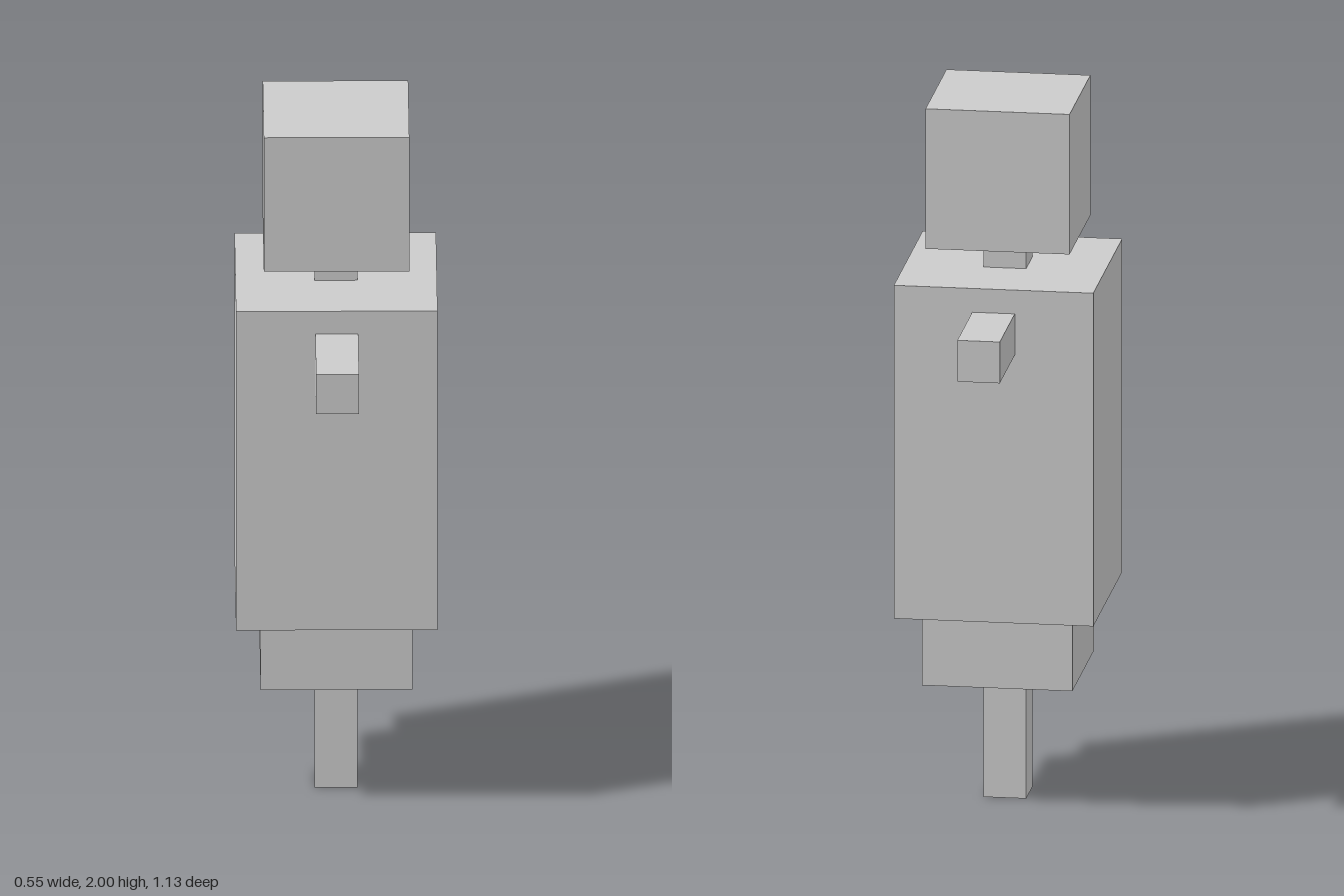
import * as THREE from 'three';

export function createModel() {
  const model = new THREE.Group();
  const material = new THREE.MeshStandardMaterial({ color: 0xcccccc, flatShading: true });

  // Box of the given width, depth and height range, centred on x = 0
  function block(name, width, depth, bottom, top, z = 0) {
    const mesh = new THREE.Mesh(new THREE.BoxGeometry(width, top - bottom, depth), material);
    mesh.name = name;
    mesh.position.set(0, (bottom + top) / 2, z);
    model.add(mesh);
  }

  // Stacked body, from the single leg up to the head
  block('leg', 0.118, 0.118, 0, 0.355);
  block('hips', 0.418, 0.418, 0.355, 0.562);
  block('torso', 0.554, 0.554, 0.562, 1.514);
  block('neck', 0.118, 0.118, 1.514, 1.6);
  block('head', 0.4, 0.4, 1.6, 2);

  // Arms reach out to the front and the back
  const inner = 0.277, outer = 0.563;
  for (const [name, side] of [['frontArm', 1], ['backArm', -1]]) {
    block(name, 0.118, outer - inner, 1.328, 1.446, side * (inner + outer) / 2);
  }
  return model;
}
